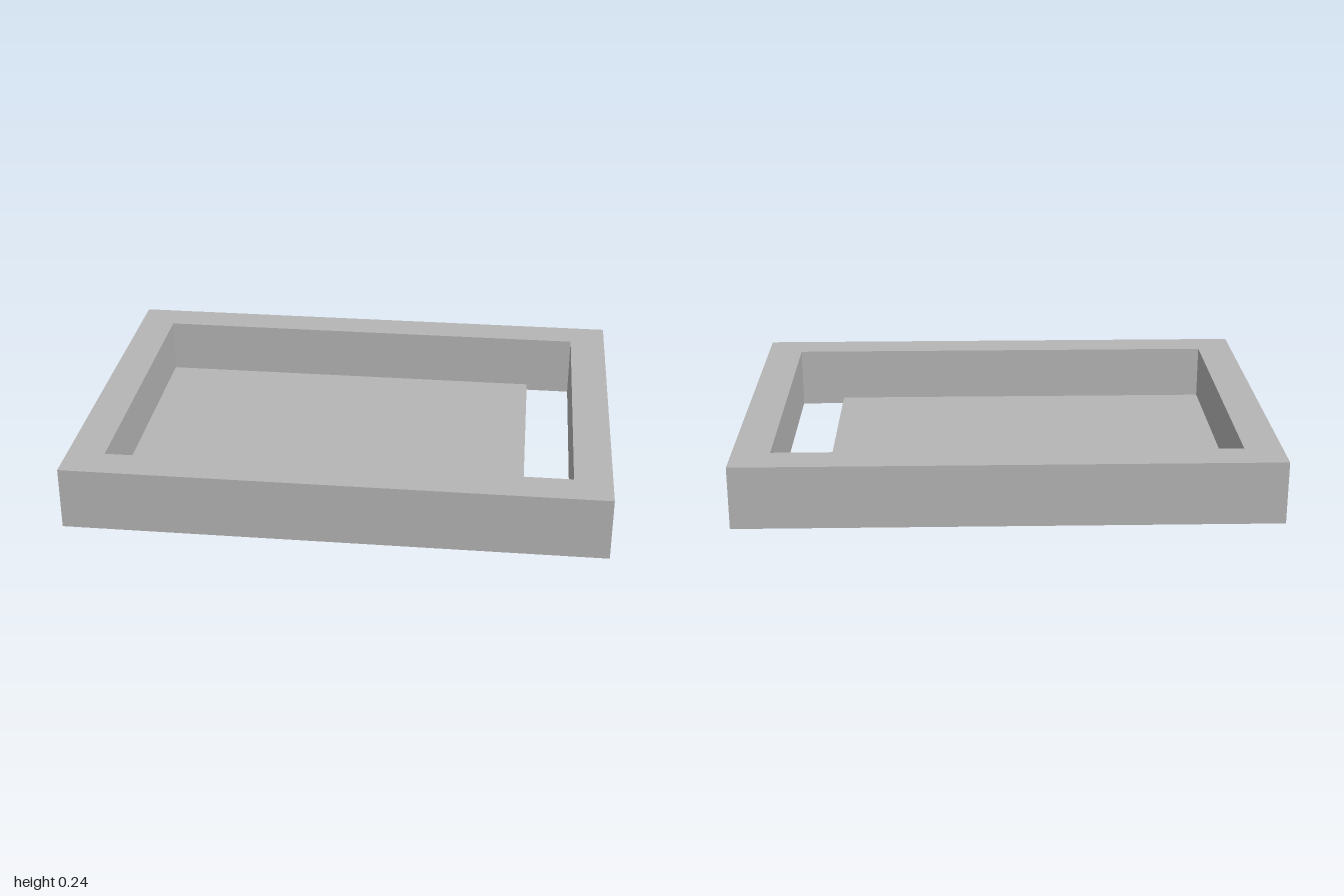
import * as THREE from 'three';

const WIDTH = 2, DEPTH = 1.47, HEIGHT = 0.237, BORDER = 0.14;

// Counter-clockwise rectangle centred on the origin
function rectangle(PathType, w, d) {
  return new PathType([
    new THREE.Vector2(-w / 2, -d / 2),
    new THREE.Vector2(w / 2, -d / 2),
    new THREE.Vector2(w / 2, d / 2),
    new THREE.Vector2(-w / 2, d / 2),
  ]);
}

export function createModel() {
  const group = new THREE.Group();
  group.name = 'tray';
  const grey = new THREE.MeshStandardMaterial({ color: 0xb5b5b5 });
  grey.name = 'grey';

  const innerWidth = WIDTH - 2 * BORDER;
  const innerDepth = DEPTH - 2 * BORDER;

  // Rectangular frame, open through the middle
  const outline = rectangle(THREE.Shape, WIDTH, DEPTH);
  outline.holes.push(rectangle(THREE.Path, innerWidth, innerDepth));
  const frameGeometry = new THREE.ExtrudeGeometry(outline, { depth: HEIGHT, bevelEnabled: false });
  frameGeometry.rotateX(-Math.PI / 2);
  const frame = new THREE.Mesh(frameGeometry, grey);
  frame.name = 'frame';
  group.add(frame);

  // Thin floor panel, slightly recessed, stopping short to leave a slot on the left
  const left = -innerWidth / 2, right = 0.685;
  const floor = new THREE.Mesh(new THREE.BoxGeometry(right - left, 0.013, innerDepth), grey);
  floor.position.set((left + right) / 2, 0.019, 0);
  floor.name = 'floorPanel';
  group.add(floor);

  return group;
}
